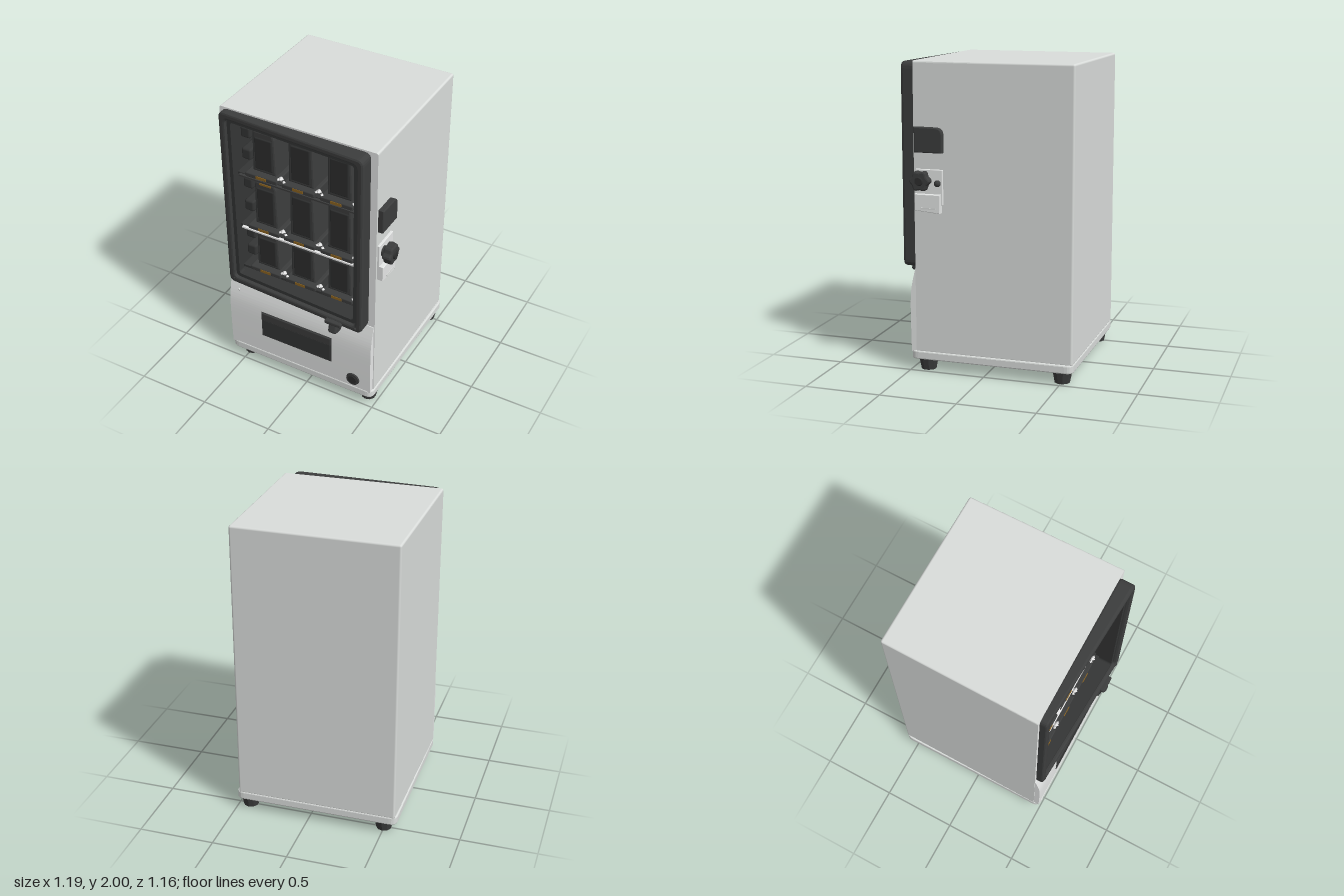
import * as THREE from 'three';
import { RoundedBoxGeometry } from 'three/addons/geometries/RoundedBoxGeometry.js';

const mat = (name, color) => {
  const m = new THREE.MeshStandardMaterial({ color });
  m.name = name;
  return m;
};

// Rounded rectangle given by its four limits
function roundRect(x0, x1, y0, y1, r, Type = THREE.Shape) {
  const s = new Type();
  s.moveTo(x0 + r, y0);
  s.lineTo(x1 - r, y0); s.quadraticCurveTo(x1, y0, x1, y0 + r);
  s.lineTo(x1, y1 - r); s.quadraticCurveTo(x1, y1, x1 - r, y1);
  s.lineTo(x0 + r, y1); s.quadraticCurveTo(x0, y1, x0, y1 - r);
  s.lineTo(x0, y0 + r); s.quadraticCurveTo(x0, y0, x0 + r, y0);
  return s;
}

const polygon = pts => new THREE.Shape(pts.map(p => new THREE.Vector2(...p)));

function extrude(shape, depth, bevel = 0) {
  const g = new THREE.ExtrudeGeometry(shape, {
    depth: depth - 2 * bevel, bevelEnabled: bevel > 0, bevelThickness: bevel,
    bevelSize: bevel, bevelOffset: -bevel, bevelSegments: 2, curveSegments: 5,
  });
  return g.translate(0, 0, bevel);
}

// Grip outline with six lobes
function lobedGrip(r, depth) {
  const pts = [];
  for (let i = 0; i < 36; i++) {
    const a = (i / 36) * Math.PI * 2;
    const q = r * (0.91 + 0.09 * Math.cos(6 * a));
    pts.push([q * Math.cos(a), q * Math.sin(a)]);
  }
  return extrude(polygon(pts), depth, 0.01);
}

// Narrows the cabinet slightly toward its back
function taper(geo) {
  const p = geo.attributes.position;
  for (let i = 0; i < p.count; i++) {
    const k = 1 - 0.017 * (0.46 - p.getZ(i));
    p.setX(i, -0.053 + (p.getX(i) + 0.053) * k);
  }
  return geo;
}

export function createModel() {
  const root = new THREE.Group();
  root.name = 'vendingMachine';
  const shell = mat('shellGrey', 0xdadddb);
  const pale = mat('frontPaleGrey', 0xf0f2f1);
  const dark = mat('doorCharcoal', 0x3c3d3d);
  const inner = mat('interiorCharcoal', 0x343535);
  const black = mat('productBlack', 0x2d2e2e);
  const amber = mat('tagAmber', 0x8c6420);
  const white = mat('clipWhite', 0xffffff);

  const add = (name, geo, material, x = 0, y = 0, z = 0, parent = root) => {
    const m = new THREE.Mesh(geo, material);
    m.name = name;
    m.position.set(x, y, z);
    parent.add(m);
    return m;
  };
  // Box from limits, optionally with rounded edges
  const block = (name, material, x0, x1, y0, y1, z0, z1, r = 0, parent = root) => {
    const d = [x1 - x0, y1 - y0, z1 - z0];
    const g = r ? new RoundedBoxGeometry(...d, 2, r) : new THREE.BoxGeometry(...d);
    return add(name, g, material, (x0 + x1) / 2, (y0 + y1) / 2, (z0 + z1) / 2, parent);
  };

  // Cabinet: solid rear and a front ring around the display cavity
  const rear = new RoundedBoxGeometry(1.084, 1.88, 0.688, 2, 0.014).translate(-0.053, 1.06, -0.234);
  add('cabinetRear', taper(rear), shell);
  const ring = roundRect(-0.595, 0.489, 0.12, 2, 0.014);
  ring.holes.push(roundRect(-0.54, 0.405, 0.71, 1.96, 0.02, THREE.Path));
  add('cabinetFront', taper(extrude(ring, 0.375).translate(0, 0, 0.085)), [pale, shell]);

  // Dark cavity lining
  block('cavityBack', inner, -0.54, 0.405, 0.71, 1.96, 0.1, 0.118);
  for (const x of [-0.535, 0.39])
    block('cavitySide', inner, x, x + 0.01, 0.715, 1.955, 0.1, 0.462);
  for (const y of [0.72, 1.94])
    block(y < 1 ? 'cavityFloor' : 'cavityCeiling', inner, -0.535, 0.4, y, y + 0.01, 0.1, 0.462);

  // Base plate with rounded corners
  const base = extrude(roundRect(-0.597, 0.497, -0.5, 0.582, 0.05), 0.055, 0.008);
  base.rotateX(-Math.PI / 2);
  add('basePlate', base, shell, 0, 0.075, 0);

  // Feet
  for (const x of [-0.497, 0.424]) for (const z of [0.4, -0.5]) {
    const foot = new THREE.CylinderGeometry(0.066, 0.05, 0.08, 10).toNonIndexed();
    foot.computeVertexNormals();
    add('foot', foot, dark, x, 0.04, z);
  }

  // Lower front panel, gently curved back toward the door
  const curve = new THREE.SplineCurve([
    [-0.496, 0.12], [-0.499, 0.3], [-0.499, 0.46], [-0.49, 0.56], [-0.464, 0.675],
  ].map(p => new THREE.Vector2(...p)));
  const profile = [[-0.44, 0.12], ...curve.getPoints(20).map(p => [p.x, p.y]), [-0.44, 0.68]];
  const panel = extrude(polygon(profile), 1.074);
  panel.rotateY(Math.PI / 2);
  add('lowerPanel', panel, pale, -0.591, 0, 0);

  // Delivery flap
  block('slotFrame', dark, -0.345, 0.195, 0.275, 0.485, 0.47, 0.502, 0.005);
  block('slotFlap', inner, -0.335, 0.185, 0.283, 0.42, 0.49, 0.504, 0.004);
  block('slotHood', dark, -0.34, 0.19, 0.42, 0.48, 0.49, 0.508, 0.006);
  add('panelScrew', new THREE.SphereGeometry(0.01, 10, 8), shell, -0.525, 0.595, 0.48);

  // Coin return button
  const button = new THREE.CylinderGeometry(0.045, 0.053, 0.025, 20).rotateX(Math.PI / 2);
  add('returnButton', button, dark, 0.355, 0.195, 0.495);
  add('returnButtonCap', new THREE.CylinderGeometry(0.03, 0.03, 0.006, 16).rotateX(Math.PI / 2),
    black, 0.355, 0.195, 0.509);

  // Door frame, thicker toward its handle side
  const wedge = (geo, z0, inset) => {
    const p = geo.attributes.position;
    for (let i = 0; i < p.count; i++) {
      const front = 0.508 + (p.getX(i) + 0.577) * 0.053 - inset;
      p.setZ(i, z0 + (p.getZ(i) / 0.08) * (front - z0));
    }
    geo.computeVertexNormals();
    return geo;
  };
  const doorShape = roundRect(-0.577, 0.446, 0.675, 1.992, 0.045);
  doorShape.holes.push(roundRect(-0.532, 0.397, 0.72, 1.945, 0.03, THREE.Path));
  add('doorFrame', wedge(extrude(doorShape, 0.08, 0.014), 0.452, 0), dark);
  const rim = roundRect(-0.54, 0.405, 0.71, 1.955, 0.03);
  rim.holes.push(roundRect(-0.507, 0.372, 0.745, 1.92, 0.02, THREE.Path));
  add('doorInnerRim', wedge(extrude(rim, 0.08), 0.44, 0.025), inner);

  // Door handle with a tilted pull tab
  block('handleBar', dark, 0.185, 0.305, 0.675, 0.705, 0.53, 0.578, 0.01);
  const tab = block('handleTab', dark, 0.21, 0.272, 0.6, 0.69, 0.493, 0.572, 0.015);
  tab.rotation.x = -0.25;
  for (const [x, z] of [[-0.54, 0.502], [0.4, 0.555]])
    add('doorScrew', new THREE.SphereGeometry(0.012, 10, 8), dark, x, 0.705, z);

  // Interior back ribs, side rails and corner bolts
  for (const y of [0.86, 0.98, 1.22, 1.34, 1.62, 1.74])
    block('backRib', dark, -0.52, 0.385, y - 0.022, y + 0.022, 0.115, 0.15, 0.008);
  for (const y of [0.86, 1.0, 1.22, 1.4, 1.62, 1.78])
    for (const x of [-0.49, 0.355])
      block('sideRail', inner, x - 0.035, x + 0.035, y - 0.04, y + 0.04, 0.15, 0.36, 0.015);
  for (const x of [-0.42, 0.335])
    add('cornerBolt', new THREE.CylinderGeometry(0.04, 0.04, 0.06, 16).rotateX(Math.PI / 2),
      dark, x, 1.885, 0.145);

  // Shelves holding three products each
  const rows = [[1.505, 0.3], [1.095, 0.33], [0.755, 0.275]];
  const columns = [[-0.345, 0.17], [-0.08, 0.182], [0.19, 0.175]];
  rows.forEach(([y, h], row) => {
    const shelf = new THREE.Group();
    shelf.name = 'shelf';
    root.add(shelf);
    block('shelfBoard', inner, -0.525, 0.39, y - 0.01, y + 0.006, 0.12, 0.41, 0, shelf);
    if (row < 2)
      block('shelfEdge', row ? white : dark, -0.507, 0.372, y - 0.01, y + 0.001, 0.405, 0.43, 0, shelf);
    columns.forEach(([x, w], col) => {
      const top = y + 0.03 + h + (col ? 0.022 : 0);
      block('productTray', dark, x - 0.115, x + 0.115, y, y + 0.032, 0.16, 0.425, 0.008, shelf);
      // Product: tapered case with a raised front panel
      const k = w / 2;
      const height = top - y - 0.03;
      const outline = new THREE.Shape();
      outline.moveTo(-k, 0);
      outline.lineTo(k, 0);
      outline.lineTo(k * 0.9, height - 0.04);
      outline.quadraticCurveTo(k * 0.87, height, k * 0.6, height);
      outline.lineTo(-k * 0.75, height);
      outline.quadraticCurveTo(-k * 0.95, height, -k * 0.95, height - 0.04);
      add('productCase', extrude(outline, 0.2, 0.012), dark, x, y + 0.03, 0.18, shelf);
      block('productFace', black, x - k * 0.74, x + k * 0.74, y + 0.055, top - 0.045,
        0.37, 0.388, 0.008, shelf);
      block('priceTag', amber, x - 0.038, x + 0.038, y + 0.007, y + 0.026, 0.42, 0.428, 0, shelf);
      if (row === 1)
        block('productTopTag', amber, x - 0.042, x + 0.042, top - 0.02, top - 0.007,
          0.375, 0.383, 0, shelf);
    });
    // Small bright clips between the products
    for (const x of [-0.205, 0.065, 0.325])
      for (const [dx, dy, s] of [[0, 0.055, 0.02], [0.02, 0.036, 0.013], [-0.02, 0.044, 0.012]])
        add('shelfClip', new THREE.OctahedronGeometry(s), white, x + dx, y + dy, 0.41, shelf);
  });
  block('hangingStrip', amber, -0.077, -0.06, 1.85, 1.925, 0.3, 0.308);

  // Payment reader on the left side, rounded at its upper rear corner
  const readerShape = new THREE.Shape();
  readerShape.moveTo(-0.445, 1.432);
  readerShape.lineTo(-0.26, 1.432);
  readerShape.lineTo(-0.26, 1.55);
  readerShape.quadraticCurveTo(-0.262, 1.59, -0.31, 1.59);
  readerShape.lineTo(-0.445, 1.592);
  const reader = extrude(readerShape, 0.05, 0.006);
  reader.rotateY(Math.PI / 2);
  add('paymentReader', reader, dark, 0.475, 0, 0);

  // Coin mechanism: plate, cup, turning knob and small button
  block('coinPlate', pale, 0.48, 0.503, 1.1, 1.325, 0.265, 0.445, 0.004);
  const cup = polygon([[-0.445, 1.065], [-0.275, 1.05], [-0.275, 1.17], [-0.445, 1.17]]);
  const cupGeo = extrude(cup, 0.05, 0.004);
  cupGeo.rotateY(Math.PI / 2);
  add('coinCup', cupGeo, pale, 0.48, 0, 0);
  block('coinCupRim', shell, 0.525, 0.533, 1.075, 1.085, 0.3, 0.4);
  add('knobStem', new THREE.CylinderGeometry(0.035, 0.035, 0.05, 16).rotateZ(Math.PI / 2),
    dark, 0.515, 1.26, 0.392);
  add('coinKnob', lobedGrip(0.068, 0.06).rotateY(Math.PI / 2), dark, 0.522, 1.26, 0.392);
  add('knobCap', new THREE.CylinderGeometry(0.024, 0.03, 0.014, 16).rotateZ(-Math.PI / 2),
    black, 0.585, 1.26, 0.392);
  add('coinButton', new THREE.SphereGeometry(0.022, 14, 10), dark, 0.512, 1.24, 0.295);

  return root;
}
